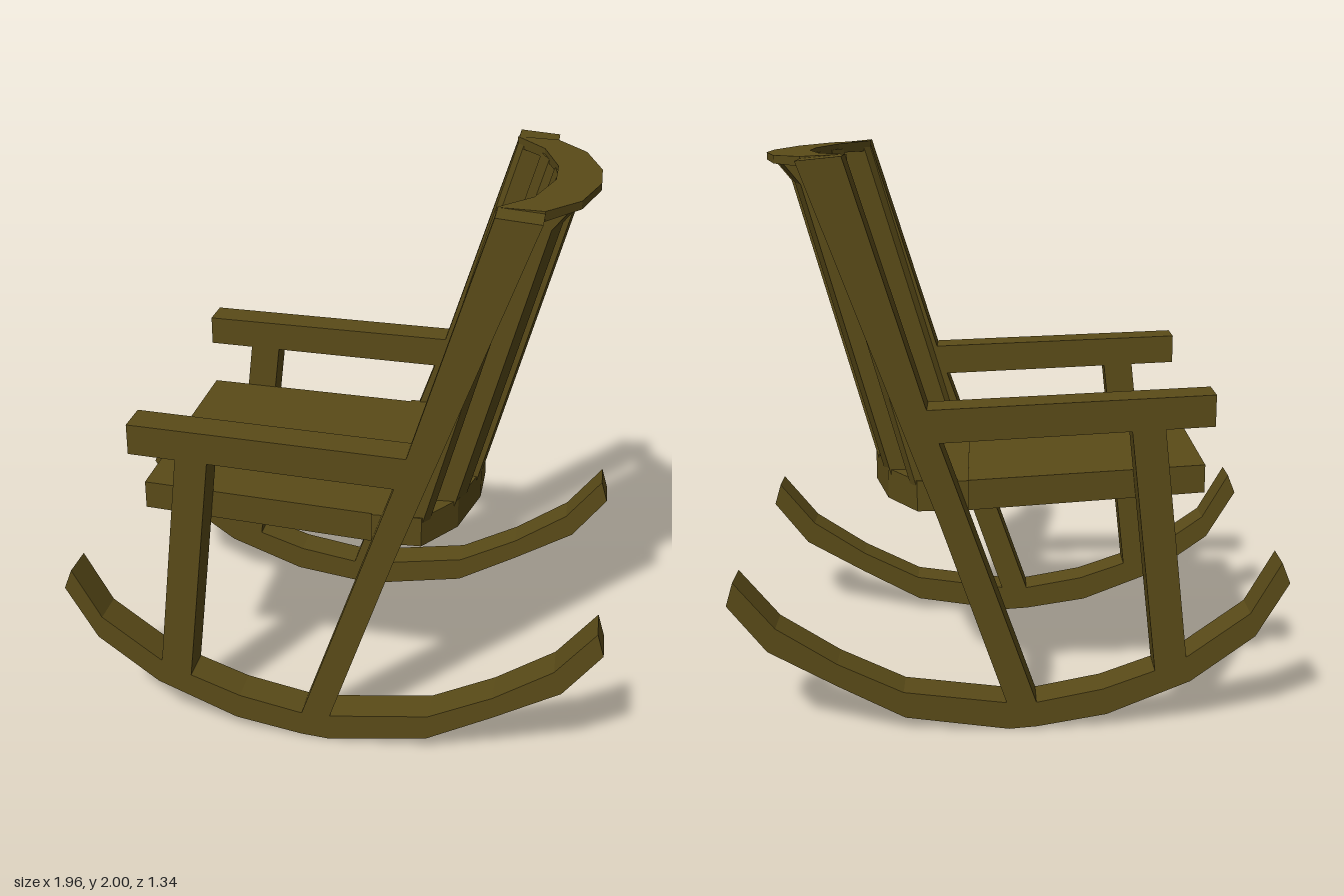
import * as THREE from 'three';

const wood = new THREE.MeshStandardMaterial({ color: 0x5a4b18, flatShading: true });

// Extrude a 2D outline by depth, then move every vertex by a rule
function extrude(points, depth, rule) {
  const shape = new THREE.Shape(points.map(([x, y]) => new THREE.Vector2(x, y)));
  const geo = new THREE.ExtrudeGeometry(shape, { depth, bevelEnabled: false });
  const pos = geo.attributes.position;
  const v = new THREE.Vector3();
  for (let i = 0; i < pos.count; i++) {
    v.fromBufferAttribute(pos, i);
    rule(v);
    pos.setXYZ(i, v.x, v.y, v.z);
  }
  geo.computeVertexNormals();
  return geo;
}

// Bow of the backrest: how far it lies in front of its centre line at z
function bow(z) {
  const a = Math.abs(z);
  if (a < 0.1) return 0;
  return a < 0.36 ? -0.06 * (a - 0.1) / 0.26 : -0.06 - 0.105 * (a - 0.36) / 0.16;
}

// Flat outline between two x positions that follows the bow
function bowedOutline(front, back) {
  const zs = [-0.53, -0.36, -0.1, 0.1, 0.36, 0.53];
  return [
    ...zs.map((z) => [back + bow(z), z]),
    ...zs.reverse().map((z) => [front(z), z]),
  ];
}

export function createModel() {
  const group = new THREE.Group();
  const add = (name, geo) => {
    const mesh = new THREE.Mesh(geo, wood);
    mesh.name = name;
    group.add(mesh);
  };

  // Side frames, spreading slightly towards the back of the chair
  const sideParts = {
    rocker: [
      [-0.98, 0.53], [-0.865, 0.335], [-0.64, 0.17], [-0.345, 0.05], [-0.1, 0.008], [0, 0],
      [0.365, 0.05], [0.6, 0.172], [0.84, 0.305], [0.975, 0.475], [0.95, 0.56], [0.81, 0.39],
      [0.6, 0.255], [0.37, 0.145], [0.01, 0.1], [-0.1, 0.1], [-0.33, 0.145], [-0.51, 0.21],
      [-0.63, 0.265], [-0.845, 0.42], [-0.95, 0.605],
    ],
    backPost: [[-0.1, 0.09], [0.005, 0.09], [0.24, 0.77], [0.69, 1.985], [0.54, 2], [0.28, 1.17]],
    frontLeg: [[-0.63, 0.2], [-0.515, 0.2], [-0.415, 1.1], [-0.53, 1.1]],
    armrest: [[-0.7, 1.095], [0.25, 1.045], [0.29, 1.16], [-0.7, 1.205]],
  };
  for (const side of [1, -1]) {
    for (const [name, outline] of Object.entries(sideParts)) {
      add(name, extrude(outline, 0.135, (v) => {
        v.z += (side > 0 ? 0.513 : -0.648) + side * 0.0233 * v.x;
      }));
    }
  }

  // Sloping seat, widening with the side frames
  const seat = [[-0.69, 0.825], [0.14, 0.77], [0.2, 0.875], [-0.69, 0.925]];
  add('seat', extrude(seat, 1, (v) => {
    v.z = (v.z > 0.5 ? 1 : -1) * (0.516 + 0.0233 * v.x);
  }));

  // Curved lower rail behind the seat
  add('lowerRail', extrude(bowedOutline(() => 0.14, 0.49), 0.11, (v) => {
    v.set(v.x, 0.77 + v.z, -v.y);
  }));

  // Curved top rail, its top falling a little to the back
  add('topRail', extrude(bowedOutline((z) => 0.705 + bow(z), 0.86), 1, (v) => {
    v.set(v.x, v.z > 0.5 ? 2 - 0.047 * (v.x - 0.54) : 1.96, -v.y);
  }));

  // Backrest slats, flaring out under the top rail
  const slat = [[0.37, 0.86], [0.49, 0.86], [0.78, 1.89], [0.85, 1.975], [0.705, 1.975]];
  for (const [inner, outer] of [[0.053, 0.16], [0.27, 0.38], [0.49, 0.525]]) {
    for (const side of [1, -1]) {
      const start = side > 0 ? inner : -outer;
      add('backSlat', extrude(slat, outer - inner, (v) => {
        v.z += start;
        v.x += bow(v.z);
      }));
    }
  }
  return group;
}
